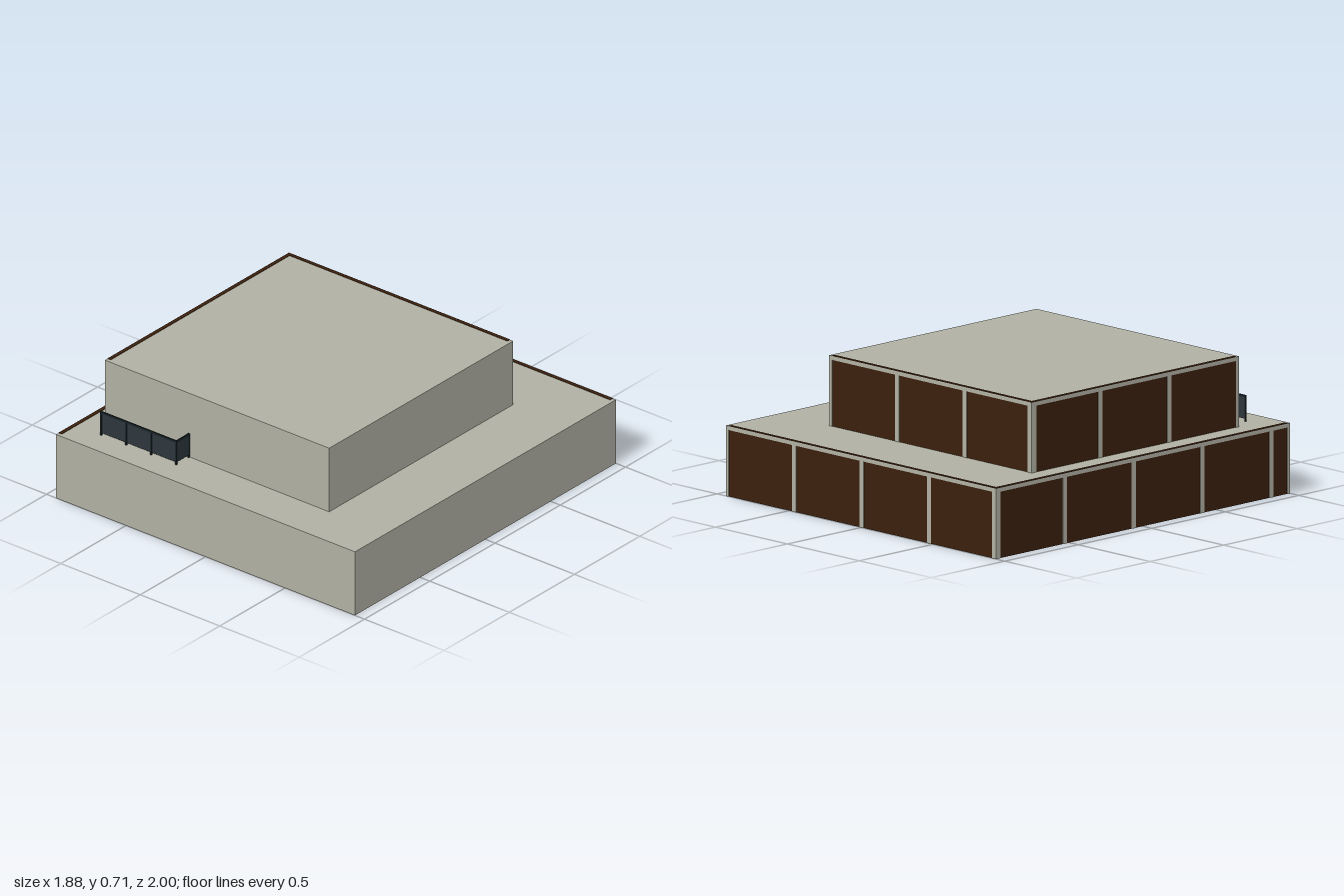
import * as THREE from 'three';

export function createModel() {
  const concrete = new THREE.MeshStandardMaterial({ name: 'concrete', color: 0xb0b0a3 });
  const brown = new THREE.MeshStandardMaterial({ name: 'brown', color: 0x3b200d });
  const glass = new THREE.MeshStandardMaterial({ name: 'dark glass', color: 0x2c363d });
  const metal = new THREE.MeshStandardMaterial({ name: 'dark metal', color: 0x1a2428 });

  const model = new THREE.Group();
  model.name = 'terracedBuilding';

  // Box given by its lower and upper corners
  function box(parent, name, mat, x0, x1, y0, y1, z0, z1) {
    const mesh = new THREE.Mesh(new THREE.BoxGeometry(x1 - x0, y1 - y0, z1 - z0), mat);
    mesh.position.set((x0 + x1) / 2, (y0 + y1) / 2, (z0 + z1) / 2);
    mesh.name = name;
    parent.add(mesh);
  }

  const T = 0.02;       // wall and roof thickness
  const INSET = 0.003;  // brown walls sit just behind the frame
  const BAR = 0.028;    // frame bar width
  const STEP = 0.468;   // panel spacing

  // Flat roof, with an opening where the next storey stands on it
  function roof(parent, s, hole) {
    const rect = (P, x0, x1, z0, z1) => {
      const p = new P();
      p.moveTo(x0, -z0).lineTo(x1, -z0).lineTo(x1, -z1).lineTo(x0, -z1).closePath();
      return p;
    };
    const shape = rect(THREE.Shape, s.x0, s.x1, s.z0, s.z1);
    if (hole) shape.holes.push(rect(THREE.Path, hole.x0 + T, hole.x1 - T, hole.z0 + T, hole.z1 - T));
    const geo = new THREE.ExtrudeGeometry(shape, { depth: T, bevelEnabled: false });
    geo.rotateX(-Math.PI / 2).translate(0, s.y1 - T, 0);
    const mesh = new THREE.Mesh(geo, concrete);
    mesh.name = 'roof';
    parent.add(mesh);
  }

  // Hollow storey: concrete front and +x walls, framed brown back and -x walls
  function storey(name, s, hole) {
    const g = new THREE.Group();
    g.name = name;
    const { x0, x1, y0, y1, z0, z1 } = s;
    const top = y1 - T;
    roof(g, s, hole);
    box(g, 'frontWall', concrete, x0, x1, y0, top, z1 - T, z1);
    box(g, 'sideWall', concrete, x1 - T, x1, y0, top, z0, z1 - T);
    box(g, 'brownBackWall', brown, x0 + INSET, x1 - T, y0, top, z0 + INSET, z0 + T);
    box(g, 'brownSideWall', brown, x0 + INSET, x0 + T, y0, top, z0 + T, z1 - T);

    // Brown wall heads showing on the roof
    box(g, 'backWallHead', brown, x0, x1 - T, y1, y1 + 0.002, z0, z0 + T);
    box(g, 'sideWallHead', brown, x0, x0 + T, y1, y1 + 0.002, z0 + T, z1 - T);

    // Vertical frame bars
    for (let x = x0; x < x1 - 0.02; x += STEP) {
      const a = Math.max(x0, x - BAR / 2);
      box(g, 'backFrameBar', concrete, a, a + BAR, y0, top, z0, z0 + INSET);
    }
    for (let z = z0; z < z1 - 0.02; z += STEP) {
      const a = Math.max(z0 + INSET, z - BAR / 2);
      box(g, 'sideFrameBar', concrete, x0, x0 + INSET, y0, top, a, a + BAR);
    }
    model.add(g);
  }

  const lower = { x0: -0.94, x1: 0.94, y0: 0, y1: 0.352, z0: -1, z1: 1 };
  const upper = { x0: -0.825, x1: 0.585, y0: 0.352, y1: 0.704, z0: -0.645, z1: 0.765 };
  storey('lowerStorey', lower, upper);
  storey('upperStorey', upper);

  // Balcony railing: three panels along the front and one return to the wall
  const rail = new THREE.Group();
  rail.name = 'railing';
  const rx0 = -0.767, rx1 = -0.294, rz0 = 0.767, rz1 = 0.865;
  const yb = 0.352, yt = 0.483, h = 0.004;
  const post = (x, z) => box(rail, 'post', metal, x - h, x + h, yb, yt, z - h, z + h);
  for (let i = 0; i < 4; i++) {
    const x = rx0 + (rx1 - rx0) * i / 3;
    post(x, rz1);
    if (i < 3) {
      box(rail, 'glassPanel', glass, x + 0.006, x + (rx1 - rx0) / 3 - 0.006, 0.366, 0.474, rz1 - 0.002, rz1 + 0.002);
    }
  }
  post(rx1, rz0 + h);
  box(rail, 'glassPanel', glass, rx1 - 0.002, rx1 + 0.002, 0.366, 0.474, rz0 + 0.008, rz1 - 0.006);
  box(rail, 'frontHandrail', metal, rx0 - h, rx1 + h, yt - 0.01, yt + 0.001, rz1 - h, rz1 + h);
  box(rail, 'returnHandrail', metal, rx1 - h, rx1 + h, yt - 0.01, yt + 0.001, rz0, rz1 - h);
  model.add(rail);

  return model;
}
